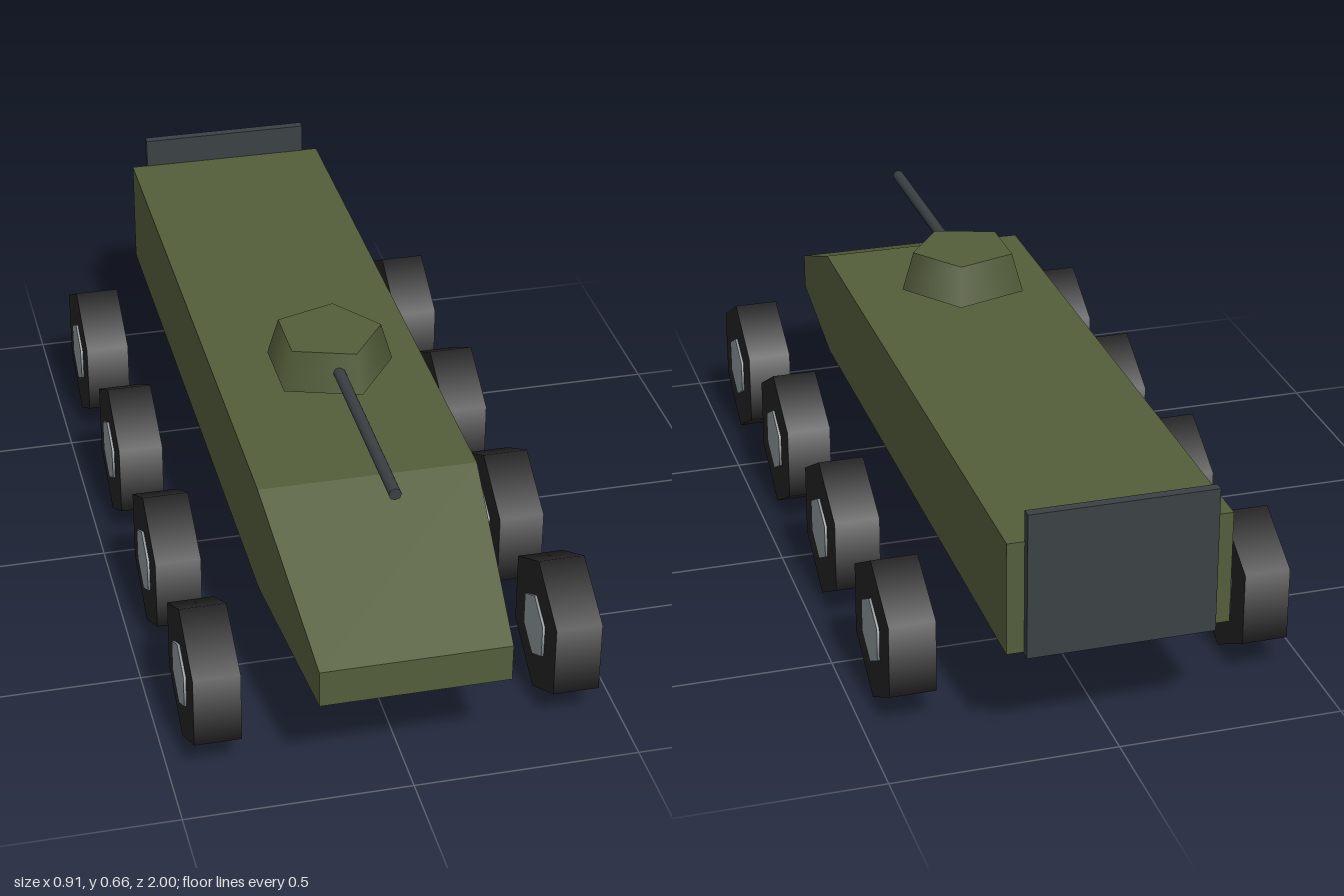
import * as THREE from 'three';

const material = (name, color) => {
  const m = new THREE.MeshStandardMaterial({ color });
  m.name = name;
  return m;
};

// Closed hull lofted through rectangular sections [z, halfWidth, bottom, top], back to front
function loftHull(sections) {
  const corners = sections.map(([z, w, b, t]) => [[-w, b, z], [w, b, z], [w, t, z], [-w, t, z]]);
  const pos = [];
  const quad = (a, b, c, d) => pos.push(...a, ...b, ...c, ...a, ...c, ...d);
  for (let i = 0; i < corners.length - 1; i++) {
    const p = corners[i], q = corners[i + 1];
    for (let k = 0; k < 4; k++) {
      const n = (k + 1) % 4;
      quad(p[k], p[n], q[n], q[k]);
    }
  }
  const back = corners[0], front = corners[corners.length - 1];
  quad(back[3], back[2], back[1], back[0]);
  quad(front[0], front[1], front[2], front[3]);
  const geo = new THREE.BufferGeometry();
  geo.setAttribute('position', new THREE.Float32BufferAttribute(pos, 3));
  geo.computeVertexNormals();
  return geo;
}

export function createModel() {
  const model = new THREE.Group();
  model.name = 'armouredVehicle';
  const green = material('olive green', 0x535d3a);
  const steel = material('dark steel', 0x3a4044);
  const rubber = material('black rubber', 0x222222);
  const hubGrey = material('hub grey', 0x8d959a);

  const add = (parent, name, geo, mat, x = 0, y = 0, z = 0) => {
    const mesh = new THREE.Mesh(geo, mat);
    mesh.name = name;
    mesh.position.set(x, y, z);
    parent.add(mesh);
    return mesh;
  };

  // Hull with sloped, tapering nose
  add(model, 'hull', loftHull([
    [-0.98, 0.243, 0.253, 0.51],
    [0.57, 0.243, 0.253, 0.51],
    [1, 0.207, 0.247, 0.333],
  ]), green);

  // Rear door plate
  add(model, 'rearPlate', new THREE.BoxGeometry(0.41, 0.332, 0.022), steel, 0, 0.414, -0.989);

  // Five-sided turret, one corner toward +x
  const turret = new THREE.CylinderGeometry(0.122, 0.149, 0.091, 5).rotateY(Math.PI / 2);
  add(model, 'turret', turret, green, 0, 0.6115, 0.191);

  // Gun barrel
  const barrel = new THREE.CylinderGeometry(0.014, 0.014, 0.55, 8).rotateX(Math.PI / 2);
  add(model, 'gunBarrel', barrel, steel, 0, 0.611, 0.525);

  // Eight hexagonal wheels, corners up and down
  const hexWheel = (r, width) =>
    new THREE.CylinderGeometry(r, r, width, 6).rotateY(Math.PI / 2).rotateZ(Math.PI / 2);
  const tyreGeo = hexWheel(0.168, 0.103);
  const hubGeo = hexWheel(0.077, 0.114);
  for (const side of [-1, 1]) {
    [0.722, 0.287, -0.188, -0.663].forEach((z, i) => {
      const wheel = new THREE.Group();
      wheel.name = (side > 0 ? 'leftWheel' : 'rightWheel') + (i + 1);
      wheel.position.set(side * 0.396, 0.168, z);
      add(wheel, 'tyre', tyreGeo, rubber);
      add(wheel, 'hub', hubGeo, hubGrey);
      model.add(wheel);
    });
  }
  return model;
}
